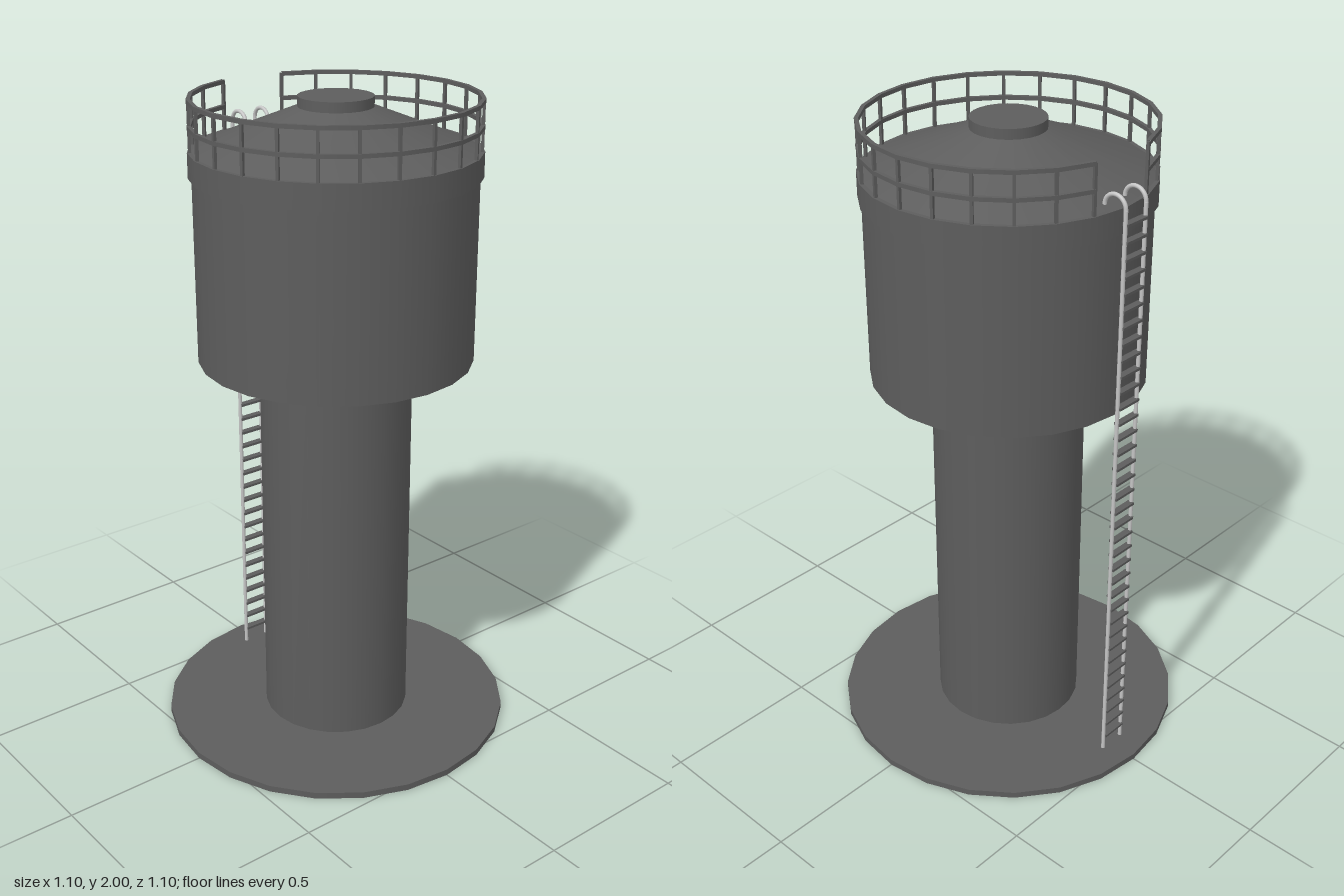
import * as THREE from 'three';
import { toCreasedNormals } from 'three/addons/utils/BufferGeometryUtils.js';

const SIDES = 24;

export function createModel() {
  const model = new THREE.Group();
  model.name = 'waterTower';
  const concrete = new THREE.MeshStandardMaterial({ color: 0x5d5d5d });
  concrete.name = 'dark grey';
  const steel = new THREE.MeshStandardMaterial({ color: 0xc4c4c4 });
  steel.name = 'light ladder grey';

  const add = (parent, name, geometry, material, x = 0, y = 0, z = 0) => {
    const mesh = new THREE.Mesh(geometry, material);
    mesh.name = name;
    mesh.position.set(x, y, z);
    parent.add(mesh);
    return mesh;
  };
  // Upright round part between two heights
  const drum = (name, rBottom, rTop, y0, y1) =>
    add(model, name, new THREE.CylinderGeometry(rTop, rBottom, y1 - y0, SIDES), concrete, 0, (y0 + y1) / 2, 0);

  drum('basePlate', 0.548, 0.548, 0, 0.02);
  drum('shaft', 0.232, 0.232, 0.02, 1.22);
  drum('tank', 0.415, 0.415, 1.22, 1.775);
  drum('rimBand', 0.425, 0.425, 1.775, 1.85);
  drum('roof', 0.412, 0.11, 1.85, 1.97);
  drum('roofCap', 0.11, 0.11, 1.95, 2);

  // Guard railing, open on the ladder side (-x)
  const railing = new THREE.Group();
  railing.name = 'railing';
  model.add(railing);
  const step = (Math.PI * 2) / SIDES;
  const start = Math.PI * 1.5 + step;
  for (const [name, y] of [['middleRail', 1.92], ['topRail', 1.994]]) {
    const h = 0.006, outer = 0.423, inner = 0.411;
    const profile = [[outer, -h], [outer, h], [inner, h], [inner, -h], [outer, -h]]
      .map(([r, v]) => new THREE.Vector2(r, v));
    const ring = new THREE.LatheGeometry(profile, SIDES - 2, start, step * (SIDES - 2));
    add(railing, name, toCreasedNormals(ring, 0.6), concrete, 0, y, 0);
  }
  const postGeometry = new THREE.BoxGeometry(0.009, 0.148, 0.009);
  for (let i = 0; i <= SIDES - 2; i++) {
    const a = start + i * step;
    const post = add(railing, 'railingPost', postGeometry, concrete, Math.sin(a) * 0.417, 1.922, Math.cos(a) * 0.417);
    post.rotation.y = a;
  }

  // Ladder whose side rails hook over the rim
  const ladder = new THREE.Group();
  ladder.name = 'ladder';
  model.add(ladder);
  const hookX = -0.419, hookY = 1.86, hookR = 0.036;
  const points = [];
  for (let i = 0; i <= 10; i++) {
    const a = Math.PI * (1 - i / 10);
    points.push(new THREE.Vector3(hookX + Math.cos(a) * hookR, hookY + Math.sin(a) * hookR, 0));
  }
  const hookGeometry = new THREE.TubeGeometry(new THREE.CatmullRomCurve3(points), 24, 0.006, 16);
  const railGeometry = new THREE.CylinderGeometry(0.006, 0.006, hookY - 0.02, 16);
  for (const z of [-0.042, 0.042]) {
    add(ladder, 'ladderRail', railGeometry, steel, hookX - hookR, (hookY + 0.02) / 2, z);
    add(ladder, 'ladderHook', hookGeometry, steel, 0, 0, z);
  }
  const rungGeometry = new THREE.BoxGeometry(0.021, 0.008, 0.084);
  for (let i = 1; i <= 36; i++) {
    add(ladder, 'ladderRung', rungGeometry, concrete, hookX - hookR, 0.02 + i * 0.05, 0);
  }
  return model;
}
